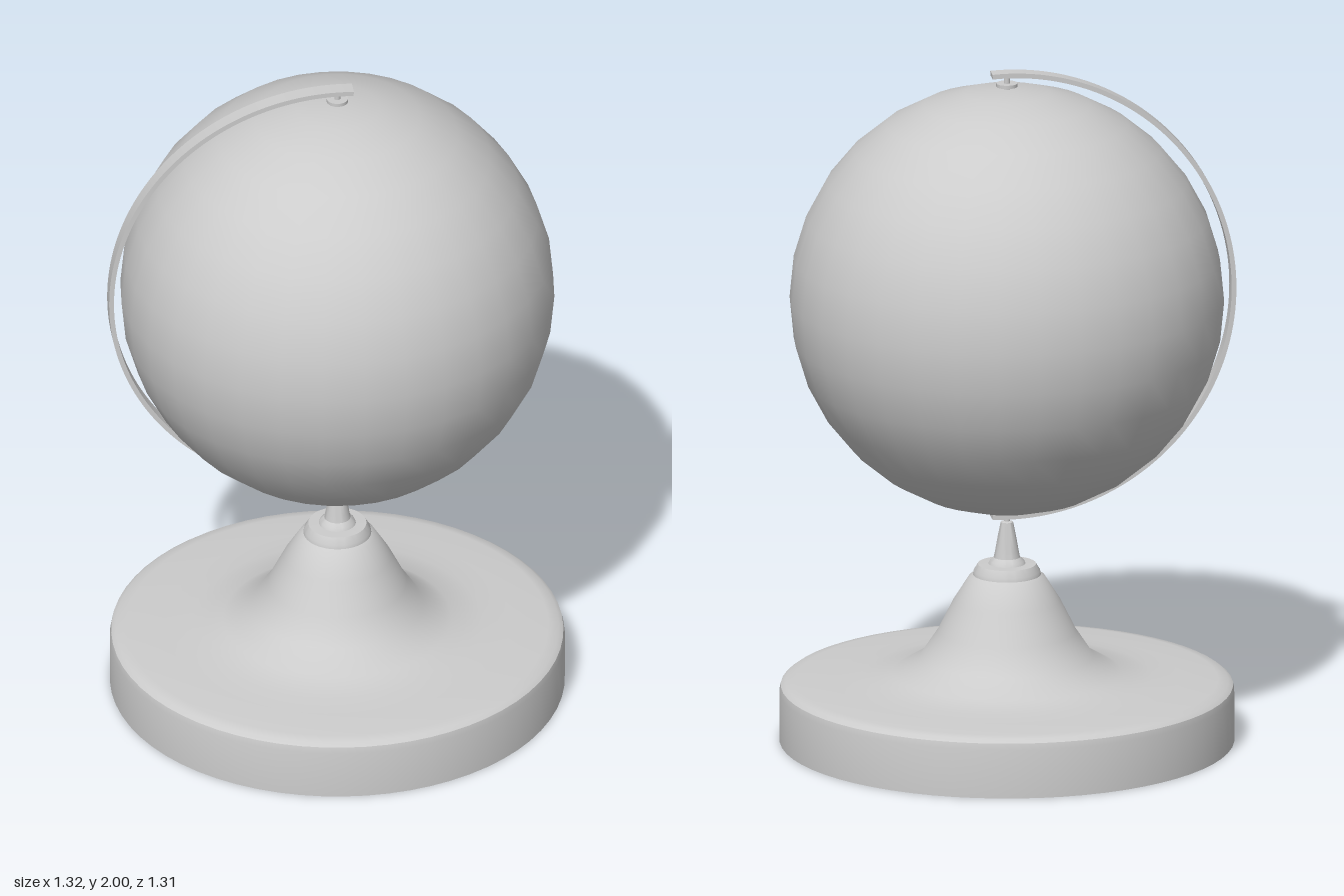
import * as THREE from 'three';
import { toCreasedNormals } from 'three/addons/utils/BufferGeometryUtils.js';

const grey = new THREE.MeshStandardMaterial({ color: 0xcccccc });
const greyOpen = new THREE.MeshStandardMaterial({ color: 0xcccccc, side: THREE.DoubleSide });

function part(name, geometry, material = grey) {
  const mesh = new THREE.Mesh(geometry, material);
  mesh.name = name;
  return mesh;
}

// Turned part from [radius, height] pairs, listed bottom to top
function turned(points, segments) {
  const profile = points.map(([r, y]) => new THREE.Vector2(r, y));
  return toCreasedNormals(new THREE.LatheGeometry(profile, segments), 0.6);
}

export function createModel() {
  const model = new THREE.Group();
  model.name = 'deskGlobe';

  // Hollow base, open underneath, flaring up into the stem
  model.add(part('base', turned([
    [0.657, 0], [0.657, 0.145], [0.653, 0.163], [0.64, 0.173], [0.61, 0.178],
    [0.5, 0.182], [0.42, 0.189], [0.33, 0.203], [0.25, 0.25], [0.2, 0.325],
    [0.155, 0.415], [0.11, 0.487], [0.098, 0.494], [0.096, 0.505], [0.084, 0.525],
    [0.05, 0.526],
  ], 64), greyOpen));

  // Slim neck between base and arm
  model.add(part('neck', turned([
    [0.055, 0.522], [0.05, 0.534], [0.038, 0.545], [0.034, 0.565],
    [0.026, 0.61], [0.018, 0.65], [0, 0.656],
  ], 32), greyOpen));

  // Ball
  const ball = part('ball', new THREE.SphereGeometry(0.628, 32, 16));
  ball.position.y = 1.317;
  model.add(ball);

  // Half-ring arm on the right side, running a little past both poles
  const outer = 0.667, inner = 0.653, past = 0.068, width = 0.046;
  const ring = new THREE.Shape();
  ring.absarc(0, 0, outer, Math.PI / 2 - past, Math.PI * 1.5 + past, false);
  ring.absarc(0, 0, inner, Math.PI * 1.5 + past, Math.PI / 2 - past, true);
  const armGeometry = new THREE.ExtrudeGeometry(ring, { depth: width, bevelEnabled: false, curveSegments: 48 });
  armGeometry.translate(0, 1.329, -width / 2);
  model.add(part('arm', toCreasedNormals(armGeometry, 0.6)));

  // Pivot pin with a small washer at each pole
  for (const [name, pinY, washerY] of [['topPivot', 1.965, 1.957], ['bottomPivot', 0.675, 0.681]]) {
    const pivot = new THREE.Group();
    pivot.name = name;
    const pin = part('pin', new THREE.CylinderGeometry(0.009, 0.009, 0.05, 16));
    pin.position.y = pinY;
    const washer = part('washer', new THREE.CylinderGeometry(0.031, 0.031, 0.01, 24));
    washer.position.y = washerY;
    pivot.add(pin, washer);
    model.add(pivot);
  }

  return model;
}
